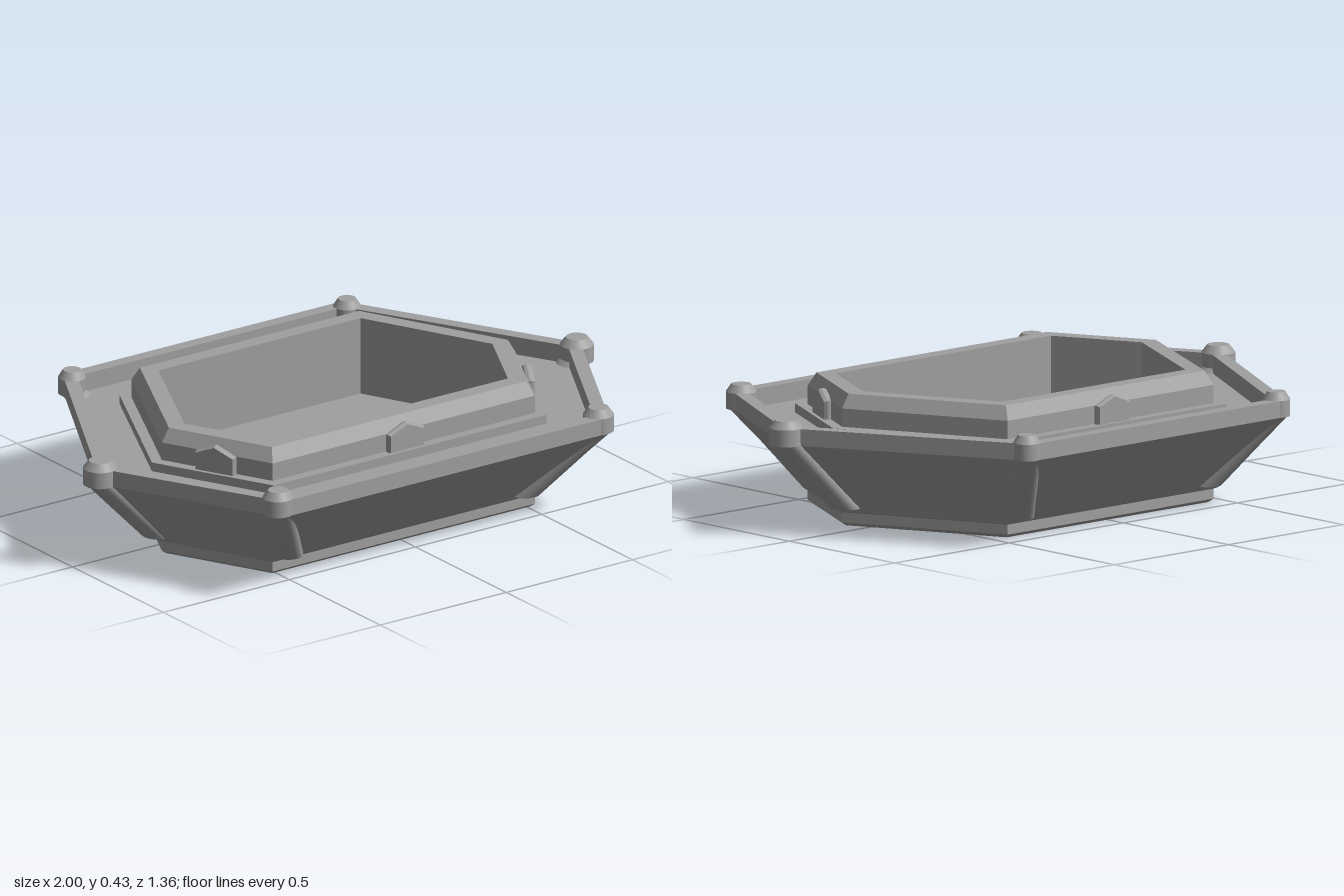
import * as THREE from 'three';

const grey = new THREE.MeshStandardMaterial({ color: 0xa0a0a0 });
grey.name = 'grey';

const Z0 = 0.075; // depth of the two side corners
// Hexagon: side x, front x, front z, back x, back z
const CORE = [0.70, 0.52, 0.435, 0.45, -0.44];
const RIM = [0.96, 0.645, 0.67, 0.555, -0.675];

// Move every edge of a hexagon inwards by d
const inset = ([sx, fx, fz, bx, bz], d) =>
  [sx - 1.12 * d, fx - 0.62 * d, fz - d, bx - 0.62 * d, bz + d];

// Corners counterclockwise from above
const corners = ([sx, fx, fz, bx, bz]) =>
  [[sx, Z0], [bx, bz], [-bx, bz], [-sx, Z0], [-fx, fz], [fx, fz]];

// Faceted skin through a list of [hexagon, y] sections
function loft(sections) {
  const pos = [];
  const rings = sections.map(([h, y]) => corners(h).map(([x, z]) => [x, y, z]));
  for (let k = 0; k + 1 < rings.length; k++) {
    const a = rings[k], b = rings[k + 1];
    for (let i = 0; i < 6; i++) {
      const j = (i + 1) % 6;
      pos.push(...a[i], ...a[j], ...b[j], ...a[i], ...b[j], ...b[i]);
    }
  }
  const g = new THREE.BufferGeometry();
  g.setAttribute('position', new THREE.Float32BufferAttribute(pos, 3));
  g.computeVertexNormals();
  return g;
}

// Rounded rectangle path, in x and -z
function roundedRect(x0, y0, x1, y1, r, Type) {
  const p = new Type();
  p.absarc(x1 - r, y1 - r, r, 0, Math.PI / 2);
  p.absarc(x0 + r, y1 - r, r, Math.PI / 2, Math.PI);
  p.absarc(x0 + r, y0 + r, r, Math.PI, Math.PI * 1.5);
  p.absarc(x1 - r, y0 + r, r, Math.PI * 1.5, Math.PI * 2);
  p.closePath();
  return p;
}

export function createModel() {
  const model = new THREE.Group();
  model.name = 'hexagonalBasin';
  const add = (name, geometry, parent = model) => {
    const m = new THREE.Mesh(geometry, grey);
    m.name = name;
    parent.add(m);
    return m;
  };

  // Foot with a bevelled recess underneath
  const panel = inset(CORE, 0.085);
  add('foot', loft([
    [panel, 0.02], [inset(CORE, 0.06), 0], [inset(CORE, 0.015), 0],
    [CORE, 0.012], [CORE, 0.045], [inset(CORE, -0.012), 0.05],
  ]));
  const panelShape = new THREE.Shape(corners(panel).map(([x, z]) => new THREE.Vector2(x, z)));
  add('footPanel', new THREE.ShapeGeometry(panelShape).rotateX(Math.PI / 2).translate(0, 0.02, 0));
  for (const s of [-1, 1]) {
    const bar = add('footCross', new THREE.BoxGeometry(0.27, 0.02, 0.035));
    bar.position.set(0, 0.017, 0);
    bar.rotation.y = s * Math.PI / 4;
  }

  // Flared hull, rim and sunken deck
  const deckEdge = inset(RIM, 0.045), plinth = inset(CORE, -0.035);
  add('hull', loft([[inset(CORE, -0.012), 0.05], [RIM, 0.3]]));
  add('rim', loft([[RIM, 0.3], [RIM, 0.355], [deckEdge, 0.355], [deckEdge, 0.295]]));
  add('deck', loft([[deckEdge, 0.295], [plinth, 0.295]]));
  add('plinth', loft([[plinth, 0.295], [plinth, 0.325], [CORE, 0.325]]));

  // Raised coaming and the well inside it
  const opening = inset(CORE, 0.08);
  const FLOOR = 0.17, SUNK = 0.14;
  add('coaming', loft([[CORE, 0.325], [CORE, 0.385], [inset(CORE, 0.025), 0.43], [opening, 0.43]]));
  add('wellWalls', loft([[opening, 0.43], [opening, FLOOR]]));

  // Well floor with a rounded shallow recess
  const rect = [-0.435, -0.255, 0.435, 0.19, 0.05];
  const floor = new THREE.Shape(corners(opening).map(([x, z]) => new THREE.Vector2(x, -z)));
  const hole = roundedRect(...rect, THREE.Path);
  floor.holes.push(hole);
  add('wellFloor', new THREE.ShapeGeometry(floor).rotateX(-Math.PI / 2).translate(0, FLOOR, 0));
  const sunk = roundedRect(...rect, THREE.Shape);
  add('recessFloor', new THREE.ShapeGeometry(sunk).rotateX(-Math.PI / 2).translate(0, SUNK, 0));
  const edge = hole.getPoints(12), wall = [];
  for (let i = 0; i < edge.length; i++) {
    const a = edge[i], b = edge[(i + 1) % edge.length];
    wall.push(a.x, FLOOR, -a.y, b.x, FLOOR, -b.y, b.x, SUNK, -b.y,
      a.x, FLOOR, -a.y, b.x, SUNK, -b.y, a.x, SUNK, -a.y);
  }
  const wallGeometry = new THREE.BufferGeometry();
  wallGeometry.setAttribute('position', new THREE.Float32BufferAttribute(wall, 3));
  wallGeometry.computeVertexNormals();
  add('recessWall', wallGeometry);

  // Corner posts: slanted round rib and a bevelled cap
  const Y0 = 0.065, Y1 = 0.31;
  const posts = [ // top x, top z, bottom x, bottom z, radius
    [0.945, Z0, 0.70, 0.055, 0.055],
    [0.635, 0.625, 0.47, 0.45, 0.05],
    [0.545, -0.635, 0.41, -0.455, 0.045],
  ];
  for (const [tx, tz, bx, bz, r] of posts) {
    for (const s of [-1, 1]) {
      const post = new THREE.Group();
      post.name = 'cornerPost';
      model.add(post);
      const kx = s * (tx - bx) / (Y1 - Y0), kz = (tz - bz) / (Y1 - Y0);
      const rib = new THREE.CylinderGeometry(r, r, Y1 - Y0, 28).translate(0, (Y1 - Y0) / 2, 0);
      rib.applyMatrix4(new THREE.Matrix4().set(
        1, kx, 0, s * bx, 0, 1, 0, Y0, 0, kz, 1, bz, 0, 0, 0, 1));
      add('postRib', rib, post);
      const band = new THREE.CylinderGeometry(r, r, 0.055, 28, 1, true);
      add('postBand', band, post).position.set(s * tx, 0.3275, tz);
      const cap = new THREE.CylinderGeometry(r * 0.65, r, 0.025, 28);
      add('postCap', cap, post).position.set(s * tx, 0.3675, tz);
    }
  }

  // Small pointed clips on the coaming
  const clipShape = new THREE.Shape([[-0.067, 0.325], [0.067, 0.325], [0.067, 0.382], [0, 0.41], [-0.067, 0.382]]
    .map(([x, y]) => new THREE.Vector2(x, y)));
  const clipGeometry = new THREE.ExtrudeGeometry(clipShape, {
    depth: 0.008, bevelEnabled: true, bevelThickness: 0.01, bevelSize: 0.005, bevelSegments: 1,
  });
  const slant = Math.atan2(0.36, 0.18);
  const clips = [[0, 0.439, 0], [0, -0.444, Math.PI], [0.614, 0.257, slant], [-0.614, 0.257, -slant]];
  for (const [x, z, turn] of clips) {
    const clip = add('clip', clipGeometry);
    clip.position.set(x, 0, z);
    clip.rotation.y = turn;
  }
  return model;
}
